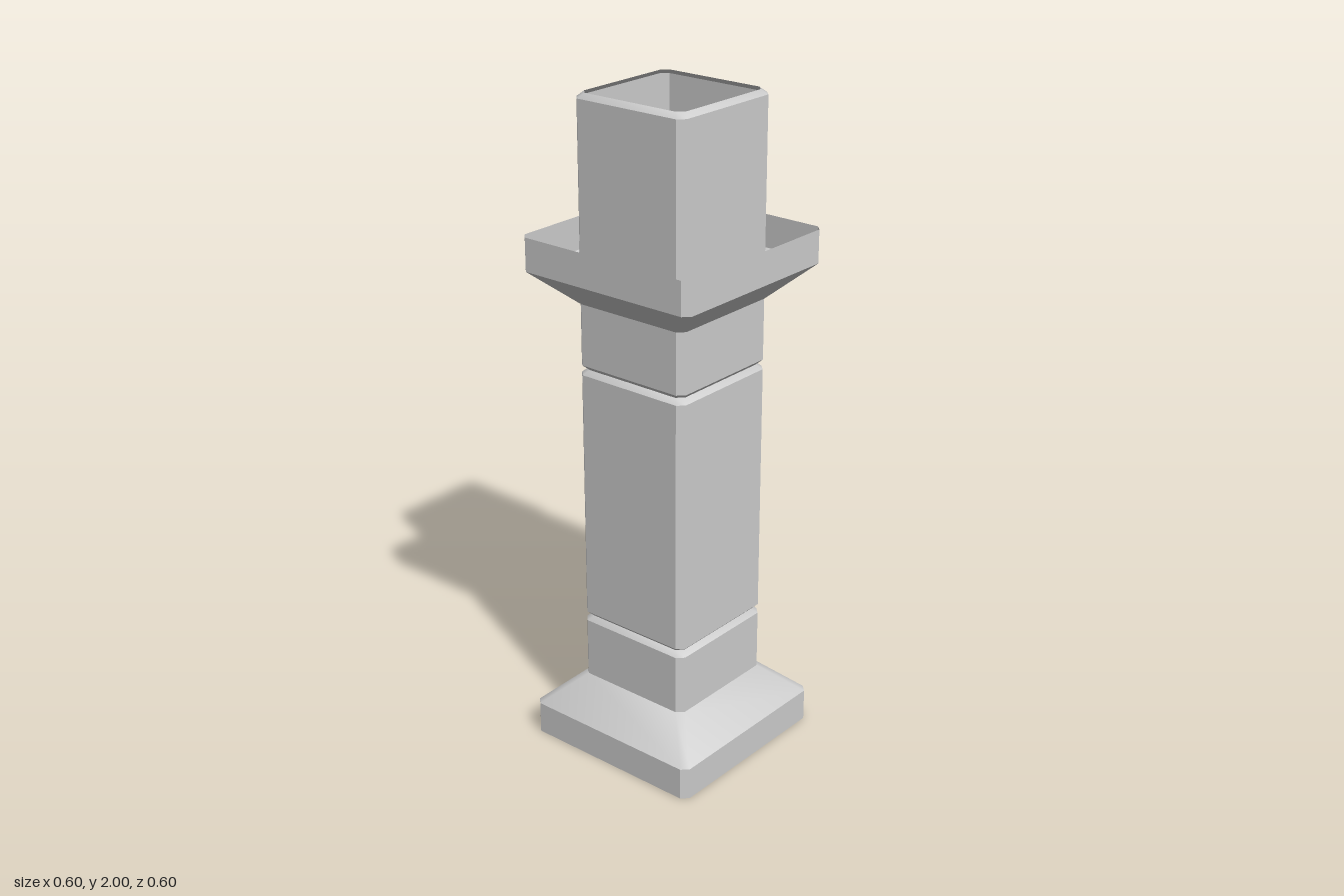
import * as THREE from 'three';
import { toCreasedNormals } from 'three/addons/utils/BufferGeometryUtils.js';

const material = new THREE.MeshStandardMaterial({ color: 0xcccccc, side: THREE.DoubleSide });

// Square ring with chamfered corners, counter-clockwise seen from the front of its plane
function ring(half, y, cut = 0.02) {
  const k = half - cut;
  return [[half, -k], [half, k], [k, half], [-k, half], [-half, k], [-half, -k], [-k, -half], [k, -half]]
    .map(([x, z]) => [x, y, z]);
}

// Open shell through a list of [half width, height], from bottom to top
function shell(name, profile) {
  const rings = profile.map(([half, y]) => ring(half, y));
  const positions = [];
  for (let r = 0; r < rings.length - 1; r++) {
    for (let i = 0; i < 8; i++) {
      const j = (i + 1) % 8;
      const [a, b, c, d] = [rings[r][i], rings[r][j], rings[r + 1][j], rings[r + 1][i]];
      positions.push(...a, ...c, ...b, ...a, ...d, ...c);
    }
  }
  const geometry = new THREE.BufferGeometry();
  geometry.setAttribute('position', new THREE.Float32BufferAttribute(positions, 3));
  const mesh = new THREE.Mesh(toCreasedNormals(geometry, 0.6), material);
  mesh.name = name;
  return mesh;
}

export function createModel() {
  const model = new THREE.Group();
  model.name = 'column';
  const wide = 0.3, shaft = 0.193, bevel = 0.015, neck = shaft - bevel;

  // Flared foot, open underneath
  model.add(shell('base', [[wide, 0], [wide, 0.1], [shaft, 0.2]]));

  // Hollow shaft in three sections, with bevelled grooves between them
  model.add(shell('lowerShaft', [[shaft, 0.2], [shaft, 0.4 - bevel], [neck, 0.4]]));
  model.add(shell('middleShaft', [[neck, 0.4], [shaft, 0.4 + bevel], [shaft, 1.2 - bevel], [neck, 1.2]]));
  model.add(shell('upperShaft', [[neck, 1.2], [shaft, 1.2 + bevel], [shaft, 2 - bevel], [neck, 2]]));

  // Flared collar, open on top
  model.add(shell('collar', [[shaft, 1.4], [wide, 1.5], [wide, 1.6]]));
  return model;
}
